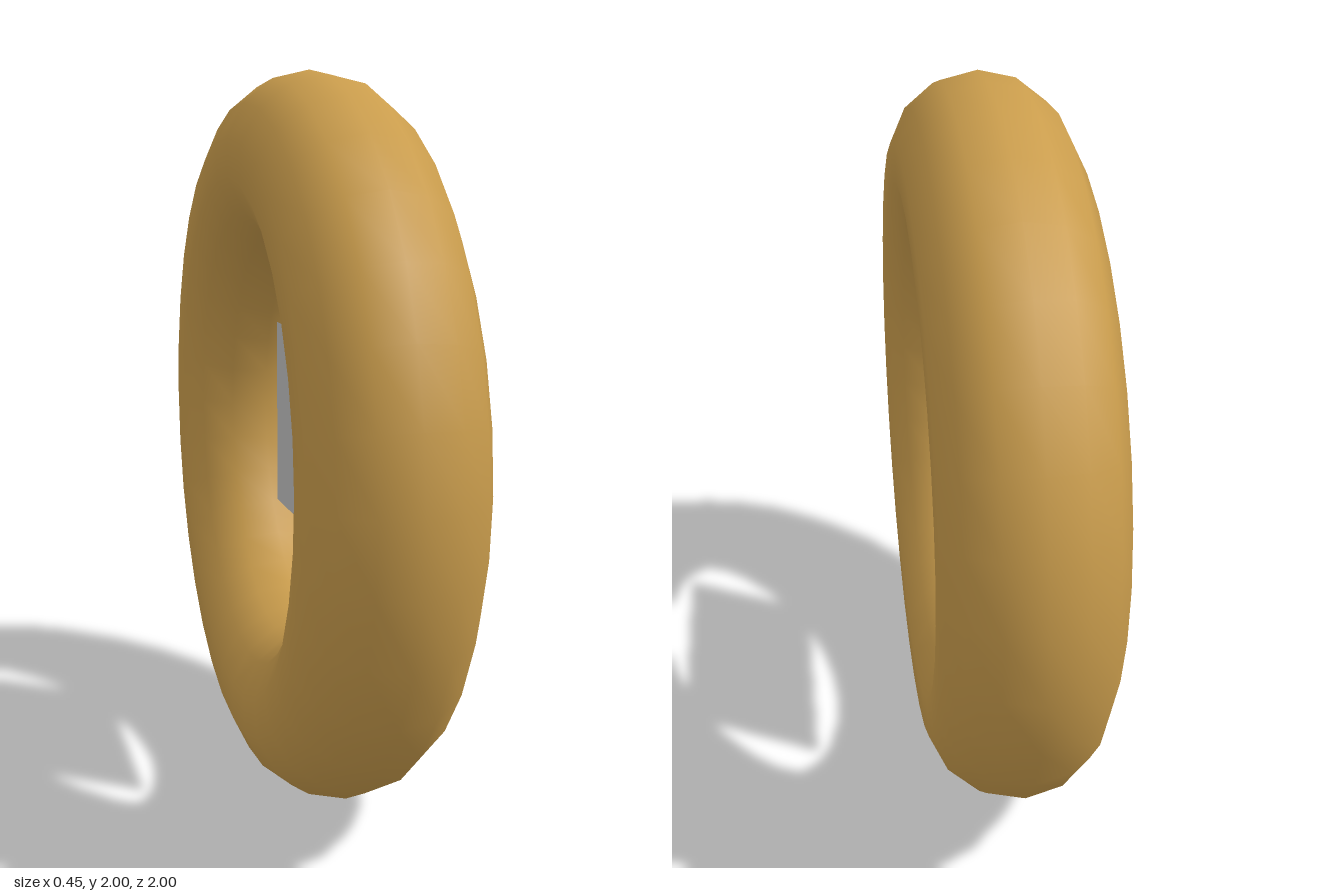
import * as THREE from 'three';

const RING_RADIUS = 0.7675;
const TUBE_RADIUS = 0.2325;

export function createModel() {
  const gold = new THREE.MeshStandardMaterial({ color: 0xc99c4c });
  gold.name = 'gold';
  const grey = new THREE.MeshStandardMaterial({ color: 0xc0c0c0, side: THREE.DoubleSide });
  grey.name = 'grey';

  const model = new THREE.Group();
  model.name = 'ringWithPanel';

  // Upright ring, its hole running along x
  const ring = new THREE.Mesh(new THREE.TorusGeometry(RING_RADIUS, TUBE_RADIUS, 14, 32), gold);
  ring.name = 'ring';

  // Thin rectangular panel floating in the middle of the hole
  const panel = new THREE.Mesh(new THREE.PlaneGeometry(0.76, 0.55), grey);
  panel.name = 'centrePanel';

  for (const part of [ring, panel]) {
    part.geometry.rotateY(Math.PI / 2);
    part.position.y = 1;
    model.add(part);
  }
  return model;
}
